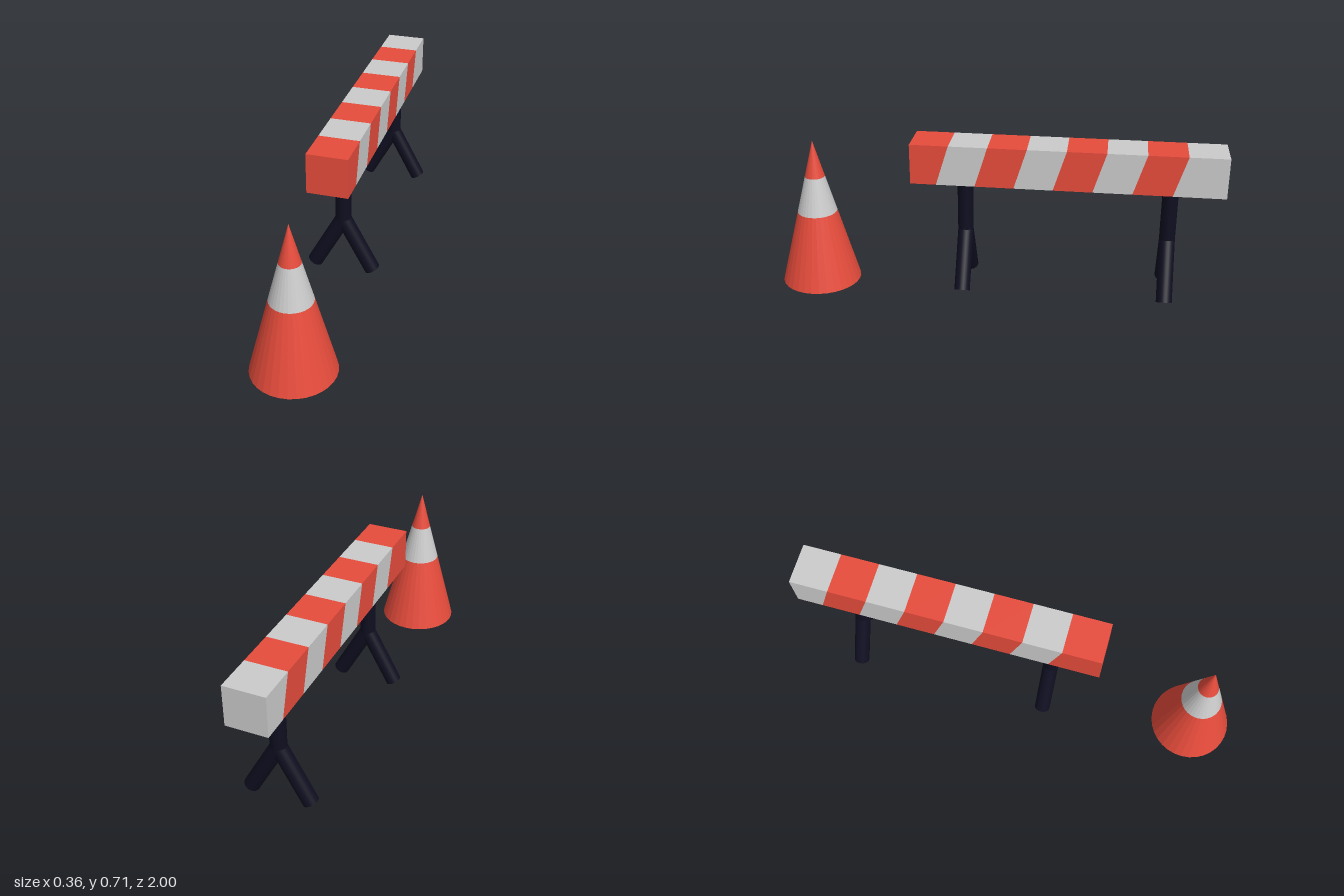
import * as THREE from 'three';

const material = (color, flatShading = false) => new THREE.MeshStandardMaterial({ color, flatShading });

function addMesh(parent, name, geometry, mat) {
  const mesh = new THREE.Mesh(geometry, mat);
  mesh.name = name;
  parent.add(mesh);
  return mesh;
}

// Cylinder running between two points
function addTube(parent, name, from, to, radius, mat) {
  const axis = to.clone().sub(from);
  const mesh = addMesh(parent, name, new THREE.CylinderGeometry(radius, radius, axis.length(), 24), mat);
  mesh.position.copy(from).add(to).multiplyScalar(0.5);
  mesh.quaternion.setFromUnitVectors(new THREE.Vector3(0, 1, 0), axis.normalize());
}

// Beam dimensions
const HALF = 0.09, BOTTOM = 0.535, TOP = 0.715, FRONT = 0.36, STRIPES = 8, STEP = 0.17, SLANT = 0.056;

// Four corners of the cut between stripes; inner cuts lean along the sides
function beamCut(k) {
  const z = FRONT - STEP * k;
  const lean = k === 0 || k === STRIPES ? 0 : SLANT;
  return [
    [HALF, TOP, z], [-HALF, TOP, z],
    [-HALF, BOTTOM, z - lean], [HALF, BOTTOM, z + lean],
  ];
}

function stripeGeometry(k) {
  const a = beamCut(k), b = beamCut(k + 1), points = [];
  const quad = (p, q, r, s) => points.push(...p, ...q, ...r, ...p, ...r, ...s);
  for (let i = 0; i < 4; i++) {
    const j = (i + 1) % 4;
    quad(a[i], b[i], b[j], a[j]);
  }
  if (k === 0) quad(...a);
  if (k === STRIPES - 1) quad(...b.reverse());
  const geometry = new THREE.BufferGeometry();
  geometry.setAttribute('position', new THREE.Float32BufferAttribute(points, 3));
  geometry.computeVertexNormals();
  return geometry;
}

export function createModel() {
  const model = new THREE.Group();
  model.name = 'roadBarrierAndCone';
  const red = material(0xe74c3c, true);
  const grey = material(0xcccccc, true);
  const dark = material(0x0e0e20);

  // Striped beam
  const beam = new THREE.Group();
  beam.name = 'beam';
  model.add(beam);
  for (let k = 0; k < STRIPES; k++) {
    addMesh(beam, k % 2 ? 'greyStripe' : 'redStripe', stripeGeometry(k), k % 2 ? grey : red);
  }

  // Forked legs
  for (const [name, z] of [['frontLeg', 0.13], ['backLeg', -0.77]]) {
    const leg = new THREE.Group();
    leg.name = name;
    leg.position.z = z;
    model.add(leg);
    const joint = new THREE.Vector3(0, 0.29, 0);
    addTube(leg, 'post', joint.clone().setY(0.27), new THREE.Vector3(0, 0.545, 0), 0.035, dark);
    for (const side of [-1, 1]) {
      addTube(leg, side > 0 ? 'leftFoot' : 'rightFoot', joint, new THREE.Vector3(side * 0.134, 0.045, 0), 0.035, dark);
    }
  }

  // Banded cone
  const cone = new THREE.Group();
  cone.name = 'trafficCone';
  cone.position.z = 0.82;
  model.add(cone);
  const height = 0.68, radius = 0.18, sides = 32;
  const bands = [['lowerBand', 0, 0.34, red], ['middleBand', 0.34, 0.51, grey], ['tip', 0.51, height, red]];
  for (const [name, y0, y1, mat] of bands) {
    const radiusAt = (y) => radius * (1 - y / height);
    const geometry = new THREE.CylinderGeometry(radiusAt(y1), radiusAt(y0), y1 - y0, sides, 1, true);
    addMesh(cone, name, geometry.translate(0, (y0 + y1) / 2, 0), mat);
  }
  addMesh(cone, 'coneBase', new THREE.CircleGeometry(radius, sides).rotateX(Math.PI / 2), red);

  return model;
}
